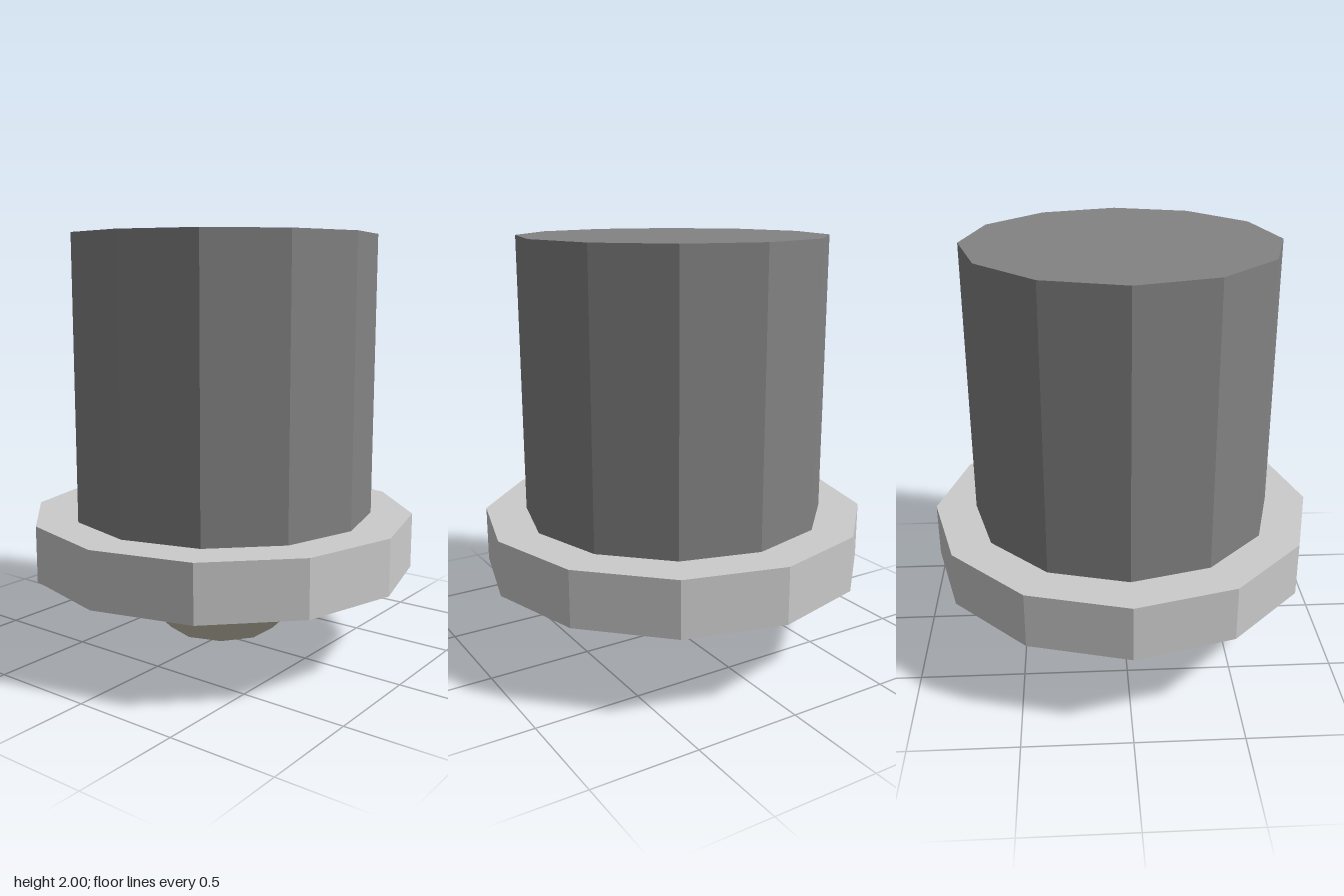
import * as THREE from 'three';

// Flat-shaded mesh with a plain colour
function part(name, geometry, color, y) {
  const material = new THREE.MeshStandardMaterial({ color, flatShading: true });
  const mesh = new THREE.Mesh(geometry, material);
  mesh.name = name;
  mesh.position.y = y;
  return mesh;
}

// Twelve-sided drum between two heights
function drum(name, radius, bottom, top, color) {
  const geometry = new THREE.CylinderGeometry(radius, radius, top - bottom, 12);
  return part(name, geometry, color, (bottom + top) / 2);
}

export function createModel() {
  const model = new THREE.Group();
  model.name = 'flangedPlunger';

  // Dark shaft on a wider, lighter collar
  model.add(drum('shaft', 0.733, 0.667, 2, 0x838384));
  model.add(drum('collar', 0.933, 0.4, 0.667, 0xcccccc));

  // Lower half of a ten-sided ball, its equator hidden inside the collar
  const r = 0.533;
  const tip = new THREE.SphereGeometry(r, 10, 3, 0, Math.PI * 2, Math.PI / 2, Math.PI / 2);
  tip.rotateY(Math.PI / 2);
  model.add(part('roundedTip', tip, 0xccc6b4, r));

  return model;
}
